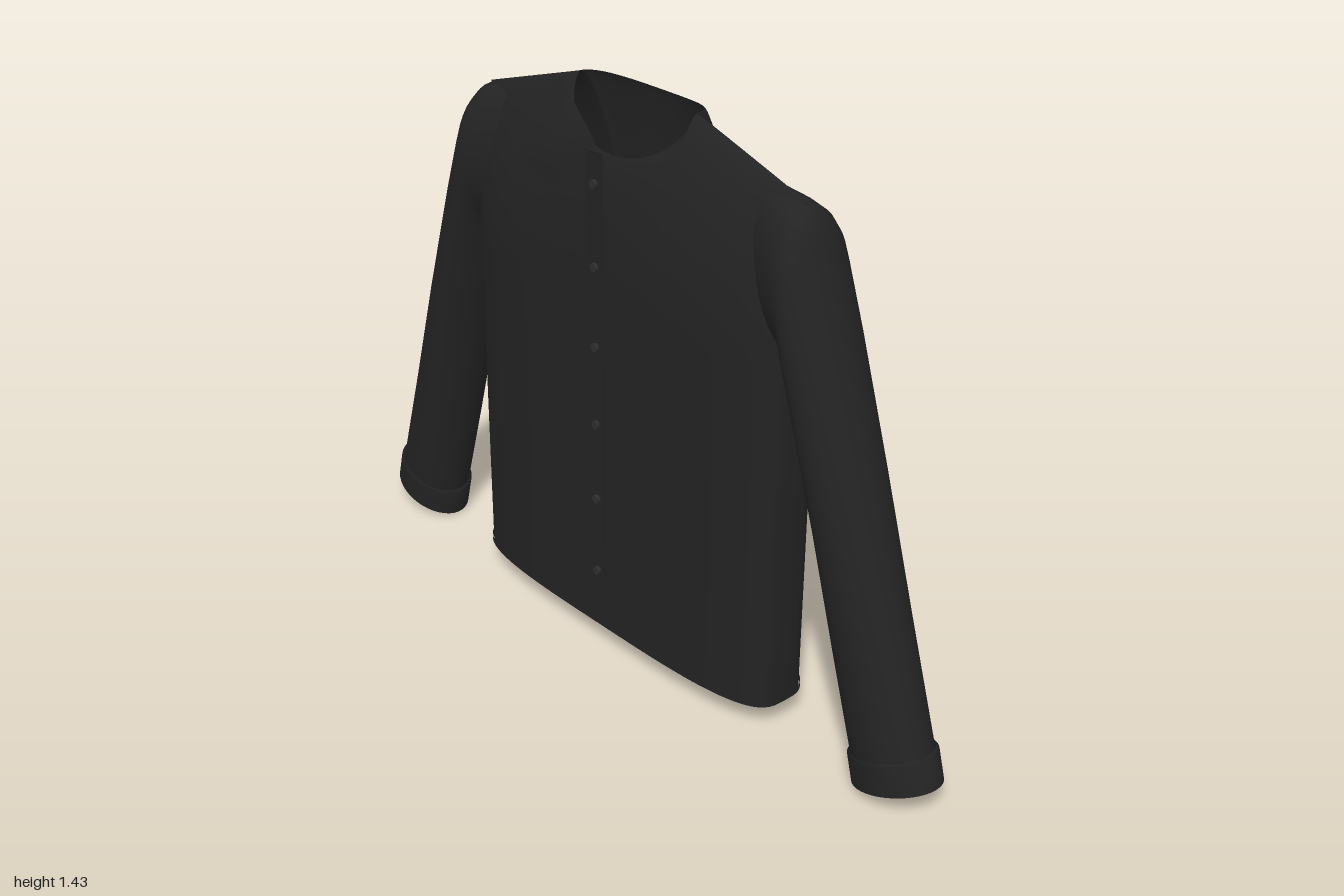
import * as THREE from 'three';

const fabric = new THREE.MeshStandardMaterial({ color: 0x232323, side: THREE.DoubleSide });
fabric.name = 'black fabric';
const buttonMat = new THREE.MeshStandardMaterial({ color: 0x2e2e2e });
buttonMat.name = 'charcoal button';

// Skin closed rings of points, listed from the bottom up
function loft(rings) {
  const n = rings[0].length, index = [];
  for (let r = 0; r < rings.length - 1; r++) {
    for (let i = 0; i < n; i++) {
      const a = r * n + i, b = r * n + (i + 1) % n;
      index.push(a, a + n, b, b, a + n, b + n);
    }
  }
  const g = new THREE.BufferGeometry();
  g.setAttribute('position', new THREE.Float32BufferAttribute(rings.flat(2), 3));
  g.setIndex(index);
  g.computeVertexNormals();
  return g;
}

function add(group, name, geometry, material = fabric) {
  const mesh = new THREE.Mesh(geometry, material);
  mesh.name = name;
  group.add(mesh);
  return mesh;
}

const HEM = 0.065, CHEST = 0.95, HALF = 0.538, NECK = 0.2;

// Column positions around the body: dense at the neck corners and side seams
function columns() {
  const half = [];
  for (let i = 0; i < 12; i++) half.push(NECK * Math.sin(i / 12 * Math.PI / 2));
  for (let i = 0; i <= 18; i++) half.push(NECK + (HALF - NECK) * Math.sin(i / 18 * Math.PI / 2));
  const across = [...half.slice().reverse(), ...half.slice(1).map(x => -x)];
  const front = across.map(x => ({ x, side: 1 }));
  const back = across.slice(1, -1).reverse().map(x => ({ x, side: -1 }));
  return [...front, ...back];
}

const bodyDepth = ({ x, side }) =>
  side * (side > 0 ? 0.118 : 0.131) * Math.pow(Math.max(0, 1 - Math.pow(Math.abs(x) / HALF, 3.4)), 1 / 3.4);

// Height and depth where a column ends, at the neckline or shoulder seam
function topEdge({ x, side }) {
  const ax = Math.abs(x);
  if (ax >= NECK) return { y: 1.432 - (ax - NECK) * 0.31, z: 0 };
  const arc = Math.sqrt(1 - (ax / NECK) ** 2);
  return side > 0
    ? { y: 1.432 - 0.132 * arc, z: 0.076 * arc }
    : { y: 1.41 + 0.022 * (ax / NECK) ** 2, z: -0.097 * arc };
}

function torsoGeometry() {
  const cols = columns(), rings = [];
  for (let r = 0; r < 8; r++) {
    const y = HEM + (CHEST - HEM) * r / 8;
    rings.push(cols.map(c => [c.x * (0.985 + 0.015 * r / 8), y, bodyDepth(c)]));
  }
  for (let r = 0; r <= 16; r++) {
    const t = Math.sin(r / 16 * Math.PI / 2);
    const f = Math.pow(Math.max(0, 1 - t * t), 0.72);
    rings.push(cols.map(c => {
      const top = topEdge(c);
      return [c.x, CHEST + (top.y - CHEST) * t, top.z + (bodyDepth(c) - top.z) * f];
    }));
  }
  return loft(rings);
}

// Each section: outer x, outer y, inner x, inner y, half depth
function tubeGeometry(sections, s) {
  const n = 40;
  return loft(sections.map(([ox, oy, ix, iy, d]) => Array.from({ length: n }, (_, i) => {
    const a = i / n * Math.PI * 2, k = (1 + Math.cos(a)) / 2;
    return [s * (ix + (ox - ix) * k), iy + (oy - iy) * k, s * d * Math.sin(a) - 0.007];
  })));
}

const SLEEVE = [
  [0.968, 0.14, 0.768, 0.07, 0.084],
  [0.862, 0.46, 0.706, 0.31, 0.091],
  [0.756, 0.78, 0.645, 0.565, 0.099],
  [0.645, 1.1, 0.583, 0.80, 0.106],
  [0.588, 1.255, 0.556, 0.90, 0.108],
  [0.572, 1.295, 0.545, 0.945, 0.107],
  [0.552, 1.316, 0.53, 0.97, 0.104],
  [0.515, 1.328, 0.50, 0.985, 0.094],
  [0.44, 1.34, 0.45, 1.0, 0.07],
];
const CUFF = [
  [1.0, 0.076, 0.773, 0.0, 0.086],
  [0.978, 0.148, 0.757, 0.072, 0.089],
  [0.968, 0.15, 0.767, 0.078, 0.084],
];

// Folded collar flap: a slightly bulged four-cornered patch
function collarGeometry() {
  const corners = [[-0.35, 1.23, 0.1], [-0.16, 1.18, 0.117], [-0.225, 1.422, 0.036], [-0.03, 1.325, 0.095]]
    .map(p => new THREE.Vector3(...p));
  const g = new THREE.PlaneGeometry(1, 1, 10, 10), p = g.attributes.position;
  for (let i = 0; i < p.count; i++) {
    const u = p.getX(i) + 0.5, v = p.getY(i) + 0.5;
    const low = corners[0].clone().lerp(corners[1], u);
    const q = low.lerp(corners[2].clone().lerp(corners[3], u), v);
    p.setXYZ(i, q.x, q.y, q.z + 0.16 * u * (1 - u) * v * (1 - v));
  }
  g.computeVertexNormals();
  return g;
}

export function createModel() {
  const shirt = new THREE.Group();
  shirt.name = 'shirt';
  add(shirt, 'torso', torsoGeometry());

  // Narrow turned band along the bottom edge
  const cols = columns();
  add(shirt, 'hemBand', loft([HEM, HEM + 0.016].map(y =>
    cols.map(c => [c.x * 0.993, y, bodyDepth(c) * 1.02]))));

  for (const [side, s] of [['left', 1], ['right', -1]]) {
    add(shirt, side + 'Sleeve', tubeGeometry(SLEEVE, s));
    add(shirt, side + 'Cuff', tubeGeometry(CUFF, s));
  }

  add(shirt, 'collarFlap', collarGeometry());

  // Front button strip
  add(shirt, 'placket', new THREE.BoxGeometry(0.054, 1.2, 0.006)).position.set(0, 0.722, 0.125);
  for (let i = 0; i < 6; i++) {
    const button = add(shirt, 'button', new THREE.CylinderGeometry(0.011, 0.011, 0.008, 16), buttonMat);
    button.rotation.x = Math.PI / 2;
    button.position.set(0.005, 0.23 + i * 0.203, 0.132);
  }
  return shirt;
}
